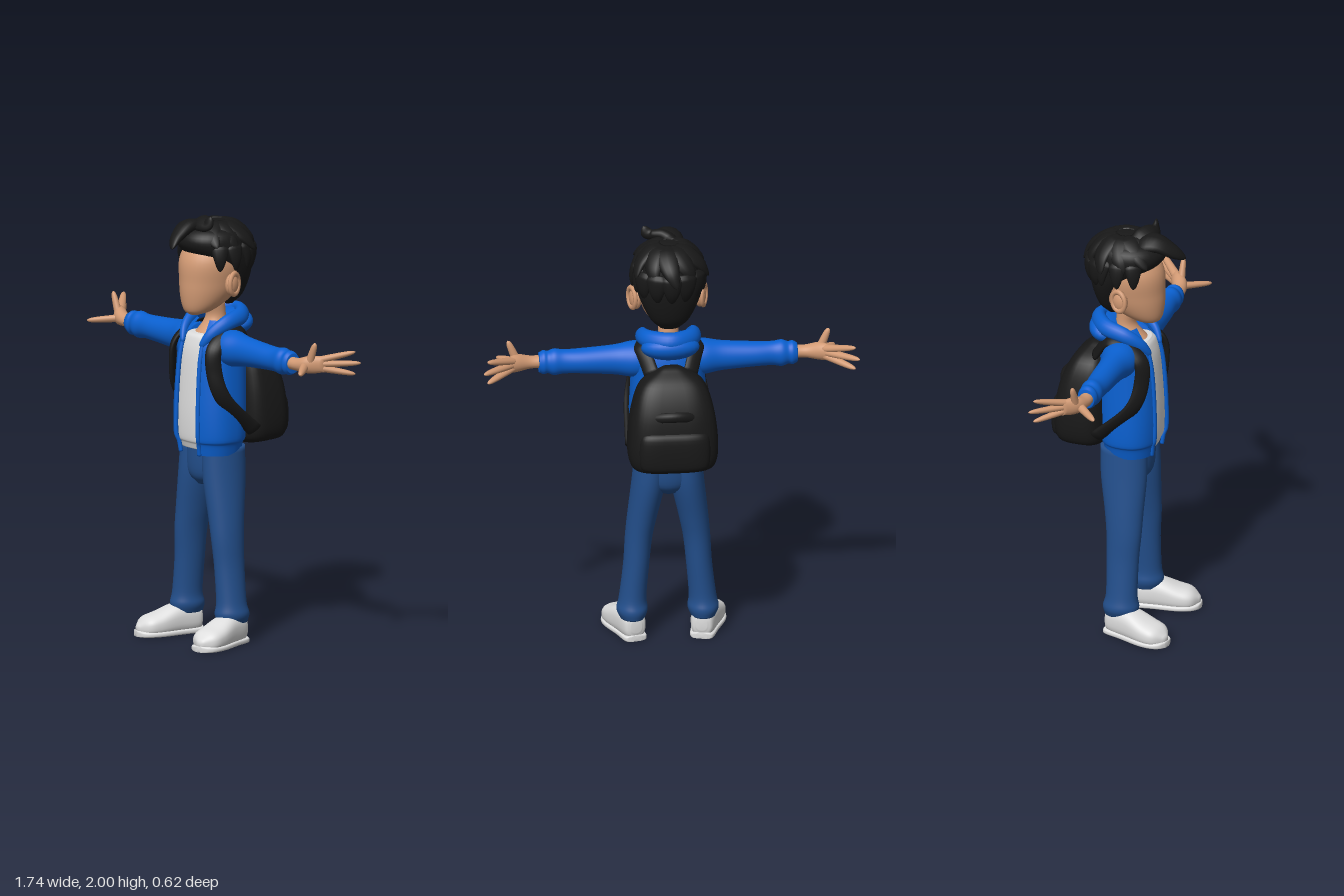
import * as THREE from 'three';

const V = (x, y, z) => new THREE.Vector3(x, y, z);
const AXES = {
  x: [V(0, 1, 0), V(0, 0, 1)],
  y: [V(1, 0, 0), V(0, 0, -1)],
  z: [V(1, 0, 0), V(0, 1, 0)],
};
const TAU = 2 * Math.PI;
const spow = (v, p) => Math.sign(v) * Math.abs(v) ** p;

// Joins rows of points into a smooth skin; closed skins get end caps.
function shell(rows, closed = true) {
  const n = rows[0].length, points = rows.flat(), idx = [];
  const span = closed ? n : n - 1, last = rows.length - 1;
  for (let i = 0; i < last; i++) {
    for (let j = 0; j < span; j++) {
      const a = i * n + j, b = i * n + (j + 1) % n;
      idx.push(a, b, a + n, b, b + n, a + n);
    }
  }
  if (closed) {
    for (const end of [0, last]) {
      const k = points.length;
      points.push(rows[end].reduce((s, p) => s.add(p), V(0, 0, 0)).divideScalar(n));
      for (let j = 0; j < n; j++) {
        const a = end * n + j, b = end * n + (j + 1) % n;
        if (end) idx.push(k, a, b); else idx.push(k, b, a);
      }
    }
  }
  const g = new THREE.BufferGeometry().setFromPoints(points);
  g.setIndex(idx);
  g.computeVertexNormals();
  return g;
}

// Rings are [x, y, z, radius, radius] in rising order along the axis.
// p below 1 squares the section; gap leaves an opening at the front.
function loft(rings, { axis = 'y', p = 1, gap = 0, n = 40, floor = -9 } = {}) {
  const [u, v] = AXES[axis];
  const path = new THREE.CatmullRomCurve3(rings.map(r => V(r[0], r[1], r[2])), false, 'catmullrom');
  const size = new THREE.CatmullRomCurve3(rings.map(r => V(r[3], r[4], 0)), false, 'catmullrom');
  const steps = (rings.length - 1) * 6, rows = [];
  for (let i = 0; i <= steps; i++) {
    const c = path.getPoint(i / steps), s = size.getPoint(i / steps), row = [];
    for (let j = 0; j < n; j++) {
      const a = gap ? gap - TAU / 4 + (TAU - 2 * gap) * j / (n - 1) : TAU * j / n;
      const q = c.clone().addScaledVector(u, s.x * spow(Math.cos(a), p)).addScaledVector(v, s.y * spow(Math.sin(a), p));
      q.y = Math.max(floor, q.y);
      row.push(q);
    }
    rows.push(row);
  }
  return shell(rows, !gap);
}

// Sweeps a flattened oval along a path, its flat side facing away from the hub.
function sweep(points, radius, flat, hub, steps = 24, n = 12) {
  const curve = new THREE.CatmullRomCurve3(points);
  const rows = [];
  for (let i = 0; i <= steps; i++) {
    const t = i / steps, c = curve.getPoint(t), T = curve.getTangent(t), r = radius(t);
    const out = c.clone().sub(hub);
    out.addScaledVector(T, -out.dot(T)).normalize();
    const side = T.clone().cross(out);
    rows.push(Array.from({ length: n }, (_, j) => c.clone()
      .addScaledVector(out, r * flat * Math.cos(TAU * j / n))
      .addScaledVector(side, r * Math.sin(TAU * j / n))));
  }
  return shell(rows);
}

function mirrored(geo) {
  const g = geo.clone().scale(-1, 1, 1), ix = g.index;
  for (let i = 0; i < ix.count; i += 3) {
    const a = ix.getX(i);
    ix.setX(i, ix.getX(i + 1));
    ix.setX(i + 1, a);
  }
  return g;
}

export function createModel() {
  const model = new THREE.Group();
  const mat = (name, color, side = THREE.FrontSide) => Object.assign(new THREE.MeshStandardMaterial({ color, side }), { name });
  const skin = mat('skin', 0xd29a74), blue = mat('jacketBlue', 0x0a60d0, THREE.DoubleSide);
  const denim = mat('denim', 0x234f8c), white = mat('offWhite', 0xdedede), black = mat('softBlack', 0x181818);
  const add = (name, m, geo) => {
    const mesh = new THREE.Mesh(geo, m);
    mesh.name = name;
    model.add(mesh);
  };
  const pair = (name, m, geo) => {
    add(name + 'Left', m, geo);
    add(name + 'Right', m, mirrored(geo));
  };

  // Head, neck and ears
  add('head', skin, loft([[0, 1.53, .145, .025, .02], [0, 1.55, .12, .065, .07], [0, 1.6, .08, .102, .122],
    [0, 1.68, .04, .13, .165], [0, 1.8, .035, .138, .158], [0, 1.92, .03, .07, .07]]));
  add('neck', skin, loft([[0, 1.41, .06, .085, .09], [0, 1.5, .02, .05, .048], [0, 1.58, .03, .05, .05]]));
  pair('ear', skin, new THREE.SphereGeometry(1, 20, 14).scale(.026, .052, .042).rotateY(.35).translate(.15, 1.68, .045));
  pair('earRim', skin, new THREE.TorusGeometry(.038, .011, 8, 24).scale(1, 1.25, 1).rotateY(TAU / 4 + .35).translate(.166, 1.685, .043));

  // Hair: a cap with rings of locks laid over it
  add('hairCap', black, loft([[0, 1.565, -.035, .045, .03], [0, 1.62, -.045, .095, .065], [0, 1.74, -.03, .148, .112],
    [0, 1.85, .03, .16, .172], [0, 1.92, .035, .135, .15], [0, 1.96, .03, .04, .05]]));
  const crown = V(0, 1.82, .02);
  const taper = r => t => r * (1 - t) ** .6 * Math.min(1, .6 + 2 * t) + .003;
  // Azimuth runs from the front towards the left; lift raises the tip.
  const lock = (azimuth, from, to, r, lift, twist = 0) => sweep([0, 1, 2, 3].map(i => {
    const t = i / 3, el = from + (to - from) * t, az = azimuth + twist * t, k = 1 + lift * t * t;
    return V(.155 * k * Math.cos(el) * Math.sin(az), .125 * k * Math.sin(el), .165 * k * Math.cos(el) * Math.cos(az)).add(crown);
  }), taper(r), .5, crown);
  for (let i = 0; i < 11; i++) {
    const az = TAU * i / 11;
    add('crownLock' + (i + 1), black, lock(az, 1.35, .1 + .2 * Math.cos(az), .068, i % 2 ? .22 : .1, .4));
  }
  for (let i = -2; i <= 2; i++) add('backLock' + (i + 3), black, lock(Math.PI + i * .45, .3, -.7, .06, .25));
  for (let i = 0; i < 3; i++) pair('sideLock' + (i + 1), black, lock(1.05 + i * .45, .4, -.5, .045, .22));
  add('quiff', black, sweep([V(-.02, 1.91, .06), V(-.02, 1.94, .17), V(0, 1.9, .25), V(.03, 1.86, .3)], taper(.07), .6, crown));
  add('topTuft', black, sweep([V(-.05, 1.92, .08), V(.02, 1.955, .12), V(.08, 1.96, .13), V(.105, 2, .13)], taper(.06), .6, crown));

  // Open jacket over a shirt
  const torso = [[0, .88, .055, .155, .122], [0, .93, .055, .166, .13], [0, .96, .055, .18, .14], [0, 1.1, .053, .18, .143],
    [0, 1.32, .045, .17, .135], [0, 1.41, .04, .165, .12], [0, 1.5, .02, .09, .07]];
  const front = torso.slice(0, -1);
  add('jacketBody', blue, loft(torso, { p: .85, gap: .38 }));
  pair('jacketEdge', blue, sweep(front.map(([, y, z, a, b]) => V(a * .435, y, z + b * .939)), () => .011, .9, V(0, 1.2, -2), 40));
  add('shirt', white, loft([...front.map(([x, y, z, a, b]) => [x, Math.max(y, .905), z, a - .012, b - .007]), [0, 1.44, .045, .09, .09]], { p: .85 }));
  add('hood', blue, new THREE.SphereGeometry(1, 28, 18).scale(.135, .06, .085).rotateX(.3).translate(0, 1.475, -.065));
  const collar = [V(.068, 1.39, .16), V(.1, 1.45, .12), V(.122, 1.495, .05), V(.1, 1.515, -.05)];
  const collarPath = [...collar.map(q => V(-q.x, q.y, q.z)), V(0, 1.52, -.11), ...collar.reverse()];
  add('collar', blue, sweep(collarPath, t => .012 + .03 * Math.sin(Math.PI * t) ** .6, .75, V(0, 1.46, .02), 60, 16));
  const sleeve = [[.08, .08, .085], [.16, .084, .085], [.25, .07, .064], [.4, .059, .056], [.48, .057, .049],
    [.525, .063, .052], [.555, .053, .045], [.575, .057, .047], [.597, .046, .04]];
  pair('sleeve', blue, loft(sleeve.map(([x, ry, rz]) => [x, 1.382, .042, ry, rz]), { axis: 'x' }));

  // Hands with spread fingers
  pair('palm', skin, loft([[.57, 1.385, .045, .03, .032], [.635, 1.385, .043, .03, .033],
    [.7, 1.392, .02, .042, .038], [.755, 1.395, -.02, .035, .02]], { axis: 'x', n: 24 }));
  const finger = (name, root, tip) => pair(name, skin, sweep([root, root.clone().lerp(tip, .5), tip],
    t => .021 * (1 - .35 * t) * Math.sqrt(1.02 - t ** 8), .85, V(.6, 1, .3)));
  finger('thumb', V(.68, 1.385, .04), V(.782, 1.372, .15));
  finger('indexFinger', V(.7, 1.4, .03), V(.742, 1.5, .028));
  for (let i = -1; i <= 1; i++) finger('finger' + (i + 3), V(.72, 1.395 + .016 * i, 0), V(.868 - .018 * i * i, 1.405 + .052 * i, -.14 + .018 * i * i));

  // Trousers
  add('hips', denim, loft([[0, .73, .045, .05, .07], [0, .79, .042, .132, .107], [0, .95, .038, .155, .115]]));
  pair('trouserLeg', denim, loft([[.163, .1, .052, .058, .075], [.164, .14, .055, .072, .085], [.161, .2, .057, .063, .074],
    [.145, .36, .056, .06, .076], [.134, .49, .058, .063, .083], [.118, .6, .053, .069, .092],
    [.09, .77, .042, .078, .11], [.078, .91, .038, .076, .112]]));

  // Shoes, turned outward
  const place = g => g.rotateY(.25).translate(.19, 0, .145);
  pair('shoe', white, place(loft([[0, .07, -.162, .025, .03], [0, .068, -.14, .052, .064], [0, .068, -.04, .066, .073],
    [0, .05, .06, .076, .056], [0, .043, .12, .066, .043], [0, .035, .16, .015, .014]], { axis: 'z', p: .8, floor: .004 })));
  const sole = [[-.166, .025], [-.15, .054], [-.06, .064], [.05, .08], [.115, .073], [.15, .05], [.166, .016]];
  pair('shoeSole', white, place(loft(sole.map(([z, r]) => [0, .012, z, r, .016]), { axis: 'z', p: .6, floor: 0 })));

  // Backpack with pocket, flap and straps
  add('backpack', black, loft([[0, .915, -.15, .13, .08], [0, .945, -.16, .192, .12], [0, 1.04, -.162, .208, .13],
    [0, 1.2, -.153, .192, .118], [0, 1.33, -.132, .145, .082], [0, 1.4, -.115, .04, .02]], { p: .6 }));
  add('backpackPocket', black, loft([[0, .935, -.24, .12, .035], [0, .97, -.25, .16, .055],
    [0, 1.1, -.248, .16, .055], [0, 1.14, -.24, .12, .03]], { p: .6 }));
  const flap = [-2, -1, 0, 1, 2].map(i => V(.09 * i, 1.21 - .012 * i * i, -.275 + .026 * i * i));
  add('backpackFlap', black, sweep(flap, () => .024, .7, V(0, 1.19, -.1)));
  pair('strap', black, sweep([V(.09, 1.36, -.1), V(.13, 1.46, -.01), V(.144, 1.39, .14), V(.152, 1.28, .15),
    V(.172, 1.16, .115), V(.185, .99, -.06)], () => .037, .42, V(0, 1.25, .03), 48, 16));

  return model;
}
